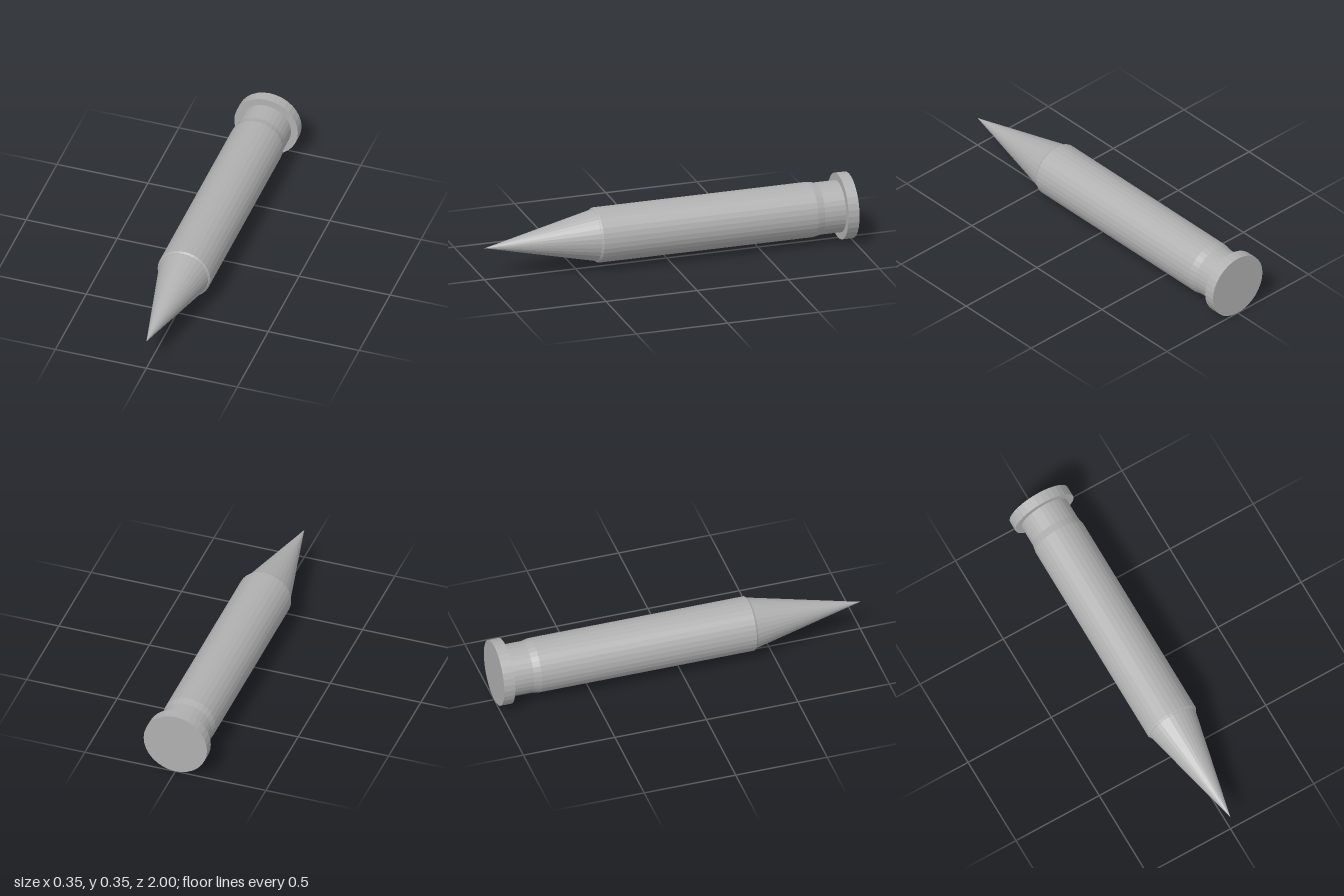
import * as THREE from 'three';

const SIDES = 32;
const AXIS_HEIGHT = 0.175;

export function createModel() {
  const model = new THREE.Group();
  model.name = 'cartridge';
  const metal = new THREE.MeshStandardMaterial({ color: 0xb0b0b0, flatShading: true });
  metal.name = 'grey metal';

  // Each part is turned from a [radius, z] profile, listed from back to front
  const turn = (name, profile) => {
    const points = profile.map(([r, z]) => new THREE.Vector2(r, z));
    const geometry = new THREE.LatheGeometry(points, SIDES);
    geometry.rotateX(Math.PI / 2);
    const mesh = new THREE.Mesh(geometry, metal);
    mesh.name = name;
    mesh.position.y = AXIS_HEIGHT;
    model.add(mesh);
  };

  // Wide flat disc at the back
  turn('rim', [[0, -1], [0.175, -1], [0.175, -0.94], [0, -0.94]]);

  // Narrow neck flaring into the main barrel, with a small front chamfer
  turn('casing', [
    [0.137, -0.94], [0.137, -0.825], [0.145, -0.785],
    [0.145, 0.39], [0.138, 0.4], [0, 0.4],
  ]);

  // Pointed cone
  turn('tip', [[0.137, 0.395], [0, 1]]);

  return model;
}
